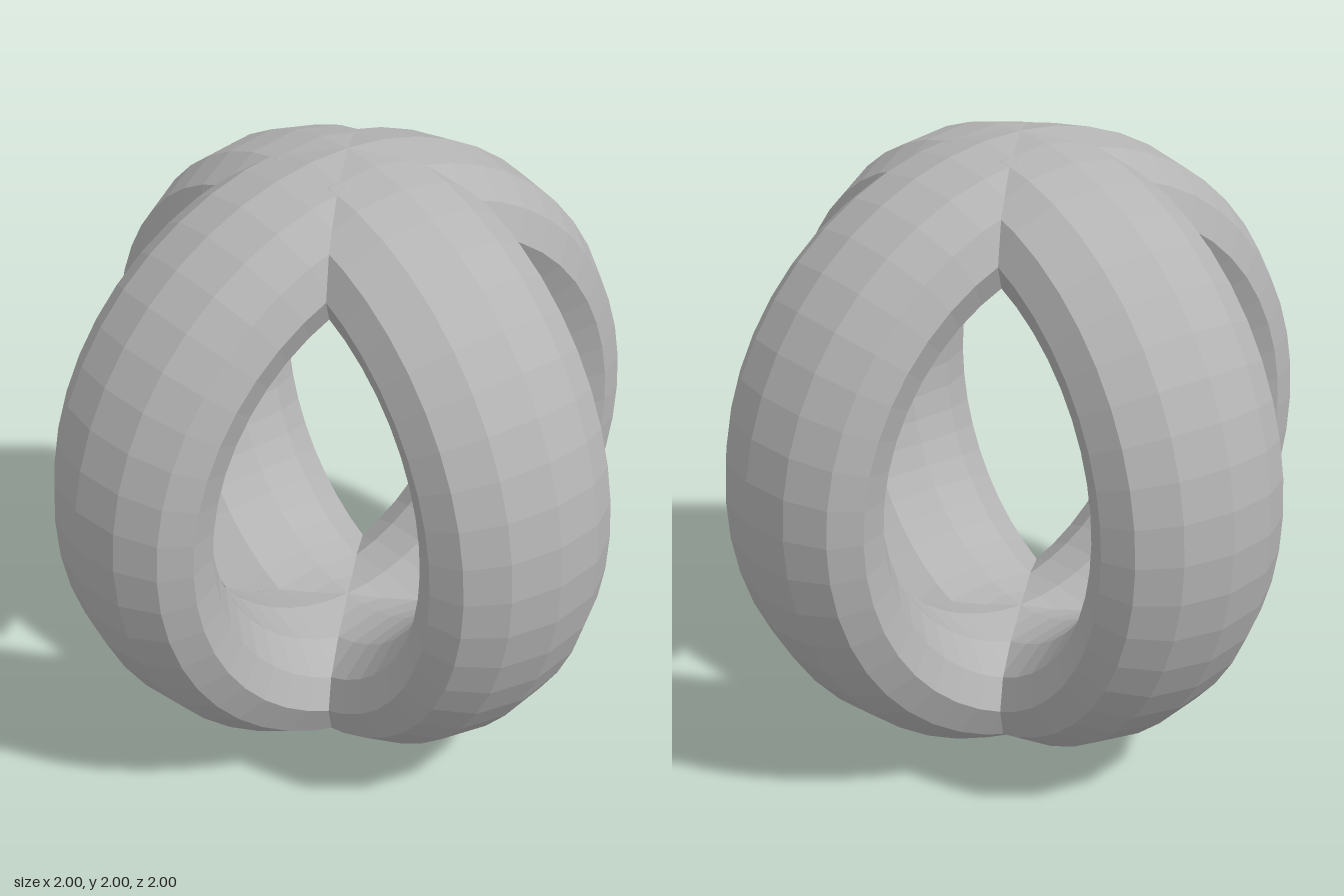
import * as THREE from 'three';

// Two upright rings of oval section, crossing at the top and bottom
const CENTRE_RADIUS = 0.805;
const RADIAL_HALF = 0.195;
const WIDTH_HALF = 0.325;

export function createModel() {
  const group = new THREE.Group();
  group.name = 'crossedRings';

  const grey = new THREE.MeshStandardMaterial({ color: 0xb4b4b4, flatShading: true });
  grey.name = 'grey';

  // Torus widened along its axis to give a 12-sided oval section
  const ring = new THREE.TorusGeometry(CENTRE_RADIUS, RADIAL_HALF, 12, 48);
  ring.scale(1, 1, WIDTH_HALF / RADIAL_HALF);

  const addRing = (name, turn) => {
    const mesh = new THREE.Mesh(ring, grey);
    mesh.name = name;
    mesh.position.y = 1;
    mesh.rotation.y = turn;
    group.add(mesh);
  };
  addRing('sidewaysRing', 0);
  addRing('frontToBackRing', Math.PI / 2);

  return group;
}
